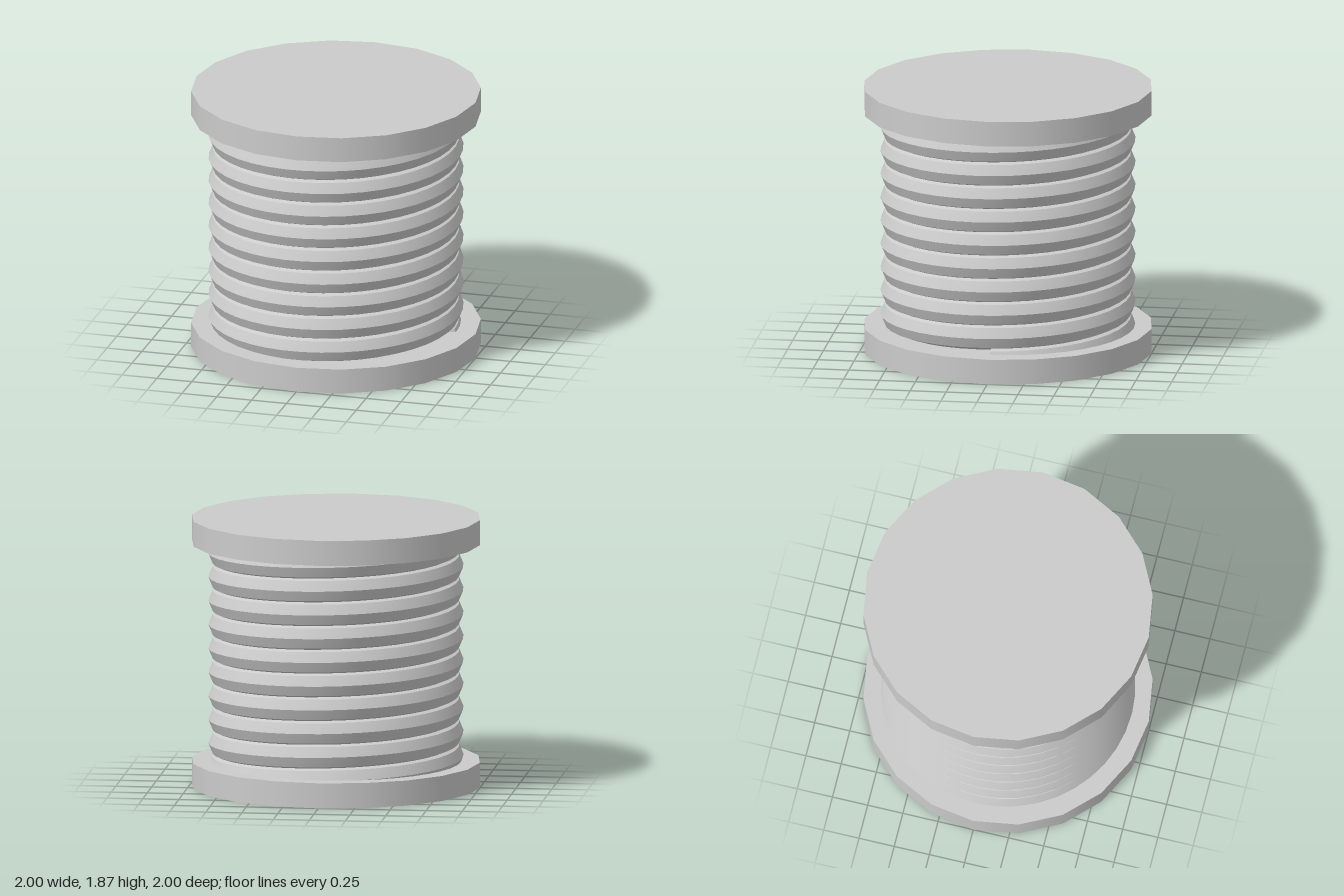
import * as THREE from 'three';
import { toCreasedNormals } from 'three/addons/utils/BufferGeometryUtils.js';

const HEIGHT = 1.87, FLANGE = 0.175, SIDES = 20;

// Rising coil with an octagonal section, closed by flat ends
function coilGeometry({ radius, wire, startY, pitch, turns, perTurn, sides }) {
  const steps = Math.round(turns * perTurn), pos = [], index = [];
  for (let i = 0; i <= steps; i++) {
    const t = (i / steps) * turns, a = t * Math.PI * 2;
    for (let j = 0; j < sides; j++) {
      const b = (j / sides) * Math.PI * 2;
      const r = radius + wire * Math.cos(b);
      pos.push(r * Math.cos(a), startY + pitch * t + wire * Math.sin(b), -r * Math.sin(a));
    }
  }
  for (let i = 0; i < steps; i++) {
    for (let j = 0; j < sides; j++) {
      const k = (j + 1) % sides, p = i * sides, q = p + sides;
      index.push(p + j, q + j, q + k, p + j, q + k, p + k);
    }
  }
  const last = steps * sides;
  for (let j = 1; j < sides - 1; j++) {
    index.push(0, j, j + 1, last, last + j + 1, last + j);
  }
  const geo = new THREE.BufferGeometry();
  geo.setAttribute('position', new THREE.Float32BufferAttribute(pos, 3));
  geo.setIndex(index);
  return toCreasedNormals(geo, Math.PI / 6);
}

export function createModel() {
  const model = new THREE.Group();
  model.name = 'spool';
  const material = new THREE.MeshStandardMaterial({ color: 0xcccccc });

  const add = (name, geometry, y = 0) => {
    const mesh = new THREE.Mesh(geometry, material);
    mesh.name = name;
    mesh.position.y = y;
    model.add(mesh);
  };

  // End discs
  const disc = new THREE.CylinderGeometry(1, 1, FLANGE, SIDES);
  add('bottomFlange', disc, FLANGE / 2);
  add('topFlange', disc, HEIGHT - FLANGE / 2);

  // Core between the discs
  const coreHeight = HEIGHT - 2 * FLANGE;
  add('core', new THREE.CylinderGeometry(0.56, 0.56, coreHeight, SIDES, 1, true), HEIGHT / 2);

  // Wound wire
  add('windings', coilGeometry({
    radius: 0.78, wire: 0.1, startY: 0.125, pitch: 0.166, turns: 9.68, perTurn: 40, sides: 8,
  }));

  return model;
}
